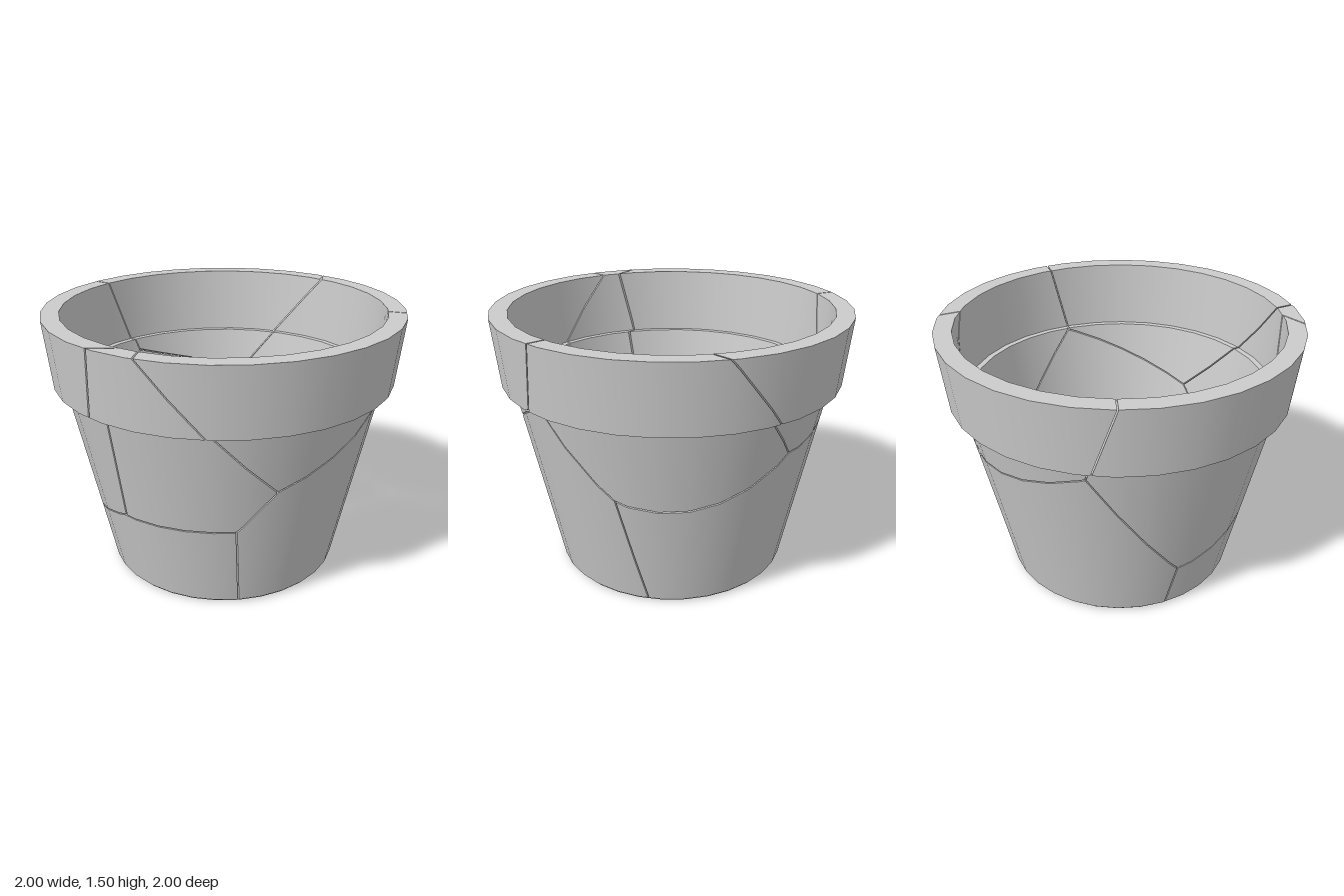
import * as THREE from 'three';

const SIDES = 32;
const GAP = 0.0035; // half the width of a crack
const v = (x, y, z) => new THREE.Vector3(x, y, z);

// Convex pieces of the pot's cross-section as [radius, height], counter-clockwise.
// "hidden" lists the edges that lie inside the clay.
const SECTIONS = [
  { points: [[0, 0], [0.655, 0], [0.645, 0.06], [0, 0.06]], hidden: [1, 3] },
  { points: [[0.655, 0], [0.672, 0.018], [0.9, 1.12], [0.87, 1.12], [0.835, 1.12], [0.645, 0.06]], hidden: [2, 5] },
  { points: [[0.87, 1.12], [0.9, 1.12], [0.96, 1.12], [1, 1.5], [0.9, 1.5]], hidden: [0] },
];

// A point well inside each shard
const SHARDS = {
  frontRimShard: v(0, 1.35, 0.9),
  leftRimShard: v(0.85, 1.2, 0.4),
  backRimShard: v(0.7, 1.3, -0.65),
  backRightShard: v(-0.65, 1.1, -0.65),
  rightSliver: v(-0.9, 1.1, 0.2),
  frontBaseShard: v(0.1, 0.4, 0.7),
  backBaseShard: v(0.5, 0.3, -0.5),
  rightBaseShard: v(-0.65, 0.2, 0),
};

// Crack junctions on the outer wall, and the middle of the floor
const A = v(-0.45, 0.75, 0.69), B = v(0.37, 1.12, 0.82), C = v(0.63, 0.67, 0.505);
const D = v(-0.57, 0.51, 0.525), E = v(0.75, 0.87, -0.4), G = v(0.15, 1.04, -0.87);
const H = v(-0.33, 0.3, -0.65), J = v(-0.775, 0.49, -0.09), FLOOR = v(-0.17, 0, -0.11);

// Each crack: the two shards it parts and three points of its plane
const CRACKS = [
  ['frontRimShard', 'leftRimShard', B, v(0.48, 1.5, 0.86), v(0.45, 1.5, 0.78)],
  ['leftRimShard', 'backRimShard', E, v(1, 1.5, 0.04), v(0.9, 1.5, 0.09)],
  ['backRimShard', 'backRightShard', G, v(-0.01, 1.5, -1), v(0, 1.5, -0.9)],
  ['backRightShard', 'rightSliver', J, v(-1, 1.5, -0.05), v(-0.915, 1.5, 0.05)],
  ['rightSliver', 'frontRimShard', A, v(-0.97, 1.5, 0.23), v(-0.895, 1.5, 0.19)],
  ['frontRimShard', 'frontBaseShard', A, B, v(-0.45, 0.75, 0)],
  ['frontBaseShard', 'leftRimShard', B, C, v(0.07, 1.28, 0.33)],
  ['leftRimShard', 'backBaseShard', C, E, v(0.78, 0.63, 0.2)],
  ['backRimShard', 'backBaseShard', E, G, v(0.21, 1.2, 0.16)],
  ['backRightShard', 'backBaseShard', G, H, v(0.19, 1.18, 0)],
  ['backRightShard', 'rightBaseShard', H, J, v(-0.25, 0.48, -0.05)],
  ['rightSliver', 'rightBaseShard', J, D, v(-0.3, 0.475, 0.03)],
  ['rightSliver', 'frontBaseShard', A, D, v(0.11, 1, 0.14)],
  ['frontBaseShard', 'rightBaseShard', FLOOR, v(-0.46, 0, 0.44), D],
  ['frontBaseShard', 'backBaseShard', FLOOR, v(0.57, 0, 0.31), C],
  ['backBaseShard', 'rightBaseShard', FLOOR, v(-0.27, 0, -0.63), H],
  // keeps this shard in the back half
  ['backRightShard', null, v(0, 0, 0.12), v(1, 0, 0.12), v(0, 1, 0.12)],
];

// One convex wedge of a section: faces of { p: position, n: normal } corners
function makeWedge({ points, hidden }, k) {
  const angles = [k, k + 1].map((i) => (i / SIDES) * Math.PI * 2);
  const turn = (r, y, a) => v(r * Math.sin(a), y, r * Math.cos(a));
  const faces = points.map(([r0, y0], i) => {
    const [r1, y1] = points[(i + 1) % points.length];
    const length = Math.hypot(r1 - r0, y1 - y0);
    const corner = (r, y, a) => ({ p: turn(r, y, a), n: turn((y1 - y0) / length, (r0 - r1) / length, a) });
    const [a, b] = angles;
    return {
      corners: [corner(r0, y0, a), corner(r0, y0, b), corner(r1, y1, b), corner(r1, y1, a)],
      hidden: hidden.includes(i),
    };
  });
  for (const a of angles) {
    faces.push({ corners: points.map(([r, y]) => ({ p: turn(r, y, a), n: v(0, 1, 0) })), hidden: true });
  }
  return faces;
}

// Cuts a convex solid by a plane, keeps the positive side and closes the cut
function cut(faces, plane) {
  const kept = [], rim = [];
  for (const { corners, hidden } of faces) {
    const out = [];
    corners.forEach((c, i) => {
      const next = corners[(i + 1) % corners.length];
      const d0 = plane.distanceToPoint(c.p), d1 = plane.distanceToPoint(next.p);
      if (d0 >= 0) out.push(c);
      if ((d0 >= 0) !== (d1 >= 0)) {
        const t = d0 / (d0 - d1);
        const p = c.p.clone().lerp(next.p, t);
        out.push({ p, n: c.n.clone().lerp(next.n, t).normalize() });
        if (!rim.some((q) => q.distanceTo(p) < 1e-6)) rim.push(p);
      }
    });
    if (out.length > 2) kept.push({ corners: out, hidden });
  }
  if (rim.length > 2) {
    const n = plane.normal.clone().negate();
    const centre = rim.reduce((sum, p) => sum.add(p), v(0, 0, 0)).divideScalar(rim.length);
    const u = rim[0].clone().sub(centre).normalize();
    const w = n.clone().cross(u);
    const angle = (p) => {
      const d = p.clone().sub(centre);
      return Math.atan2(d.dot(w), d.dot(u));
    };
    rim.sort((p, q) => angle(p) - angle(q));
    kept.push({ corners: rim.map((p) => ({ p, n })), hidden: false });
  }
  return kept;
}

// Adds a face as a fan of triangles that look along its normals
function addFace(corners, positions, normals) {
  for (let i = 1; i < corners.length - 1; i++) {
    let tri = [corners[0], corners[i], corners[i + 1]];
    const facing = tri[1].p.clone().sub(tri[0].p).cross(tri[2].p.clone().sub(tri[0].p));
    if (facing.length() < 1e-9) continue;
    if (facing.dot(tri[0].n) < 0) tri = [tri[0], tri[2], tri[1]];
    for (const { p, n } of tri) {
      positions.push(p.x, p.y, p.z);
      normals.push(n.x, n.y, n.z);
    }
  }
}

export function createModel() {
  const pot = new THREE.Group();
  pot.name = 'crackedFlowerPot';
  const clay = new THREE.MeshStandardMaterial({ color: 0xcccccc });

  for (const [name, inside] of Object.entries(SHARDS)) {
    // Crack planes around this shard, turned to face it
    const planes = CRACKS.filter((c) => c[0] === name || c[1] === name).map(([, , p, q, r]) => {
      const plane = new THREE.Plane().setFromCoplanarPoints(p, q, r);
      if (plane.distanceToPoint(inside) < 0) plane.negate();
      plane.constant -= GAP;
      return plane;
    });

    const positions = [], normals = [];
    for (const section of SECTIONS) {
      for (let k = 0; k < SIDES; k++) {
        const faces = planes.reduce(cut, makeWedge(section, k));
        for (const face of faces) if (!face.hidden) addFace(face.corners, positions, normals);
      }
    }

    const geometry = new THREE.BufferGeometry();
    geometry.setAttribute('position', new THREE.Float32BufferAttribute(positions, 3));
    geometry.setAttribute('normal', new THREE.Float32BufferAttribute(normals, 3));
    const shard = new THREE.Mesh(geometry, clay);
    shard.name = name;
    pot.add(shard);
  }
  return pot;
}
